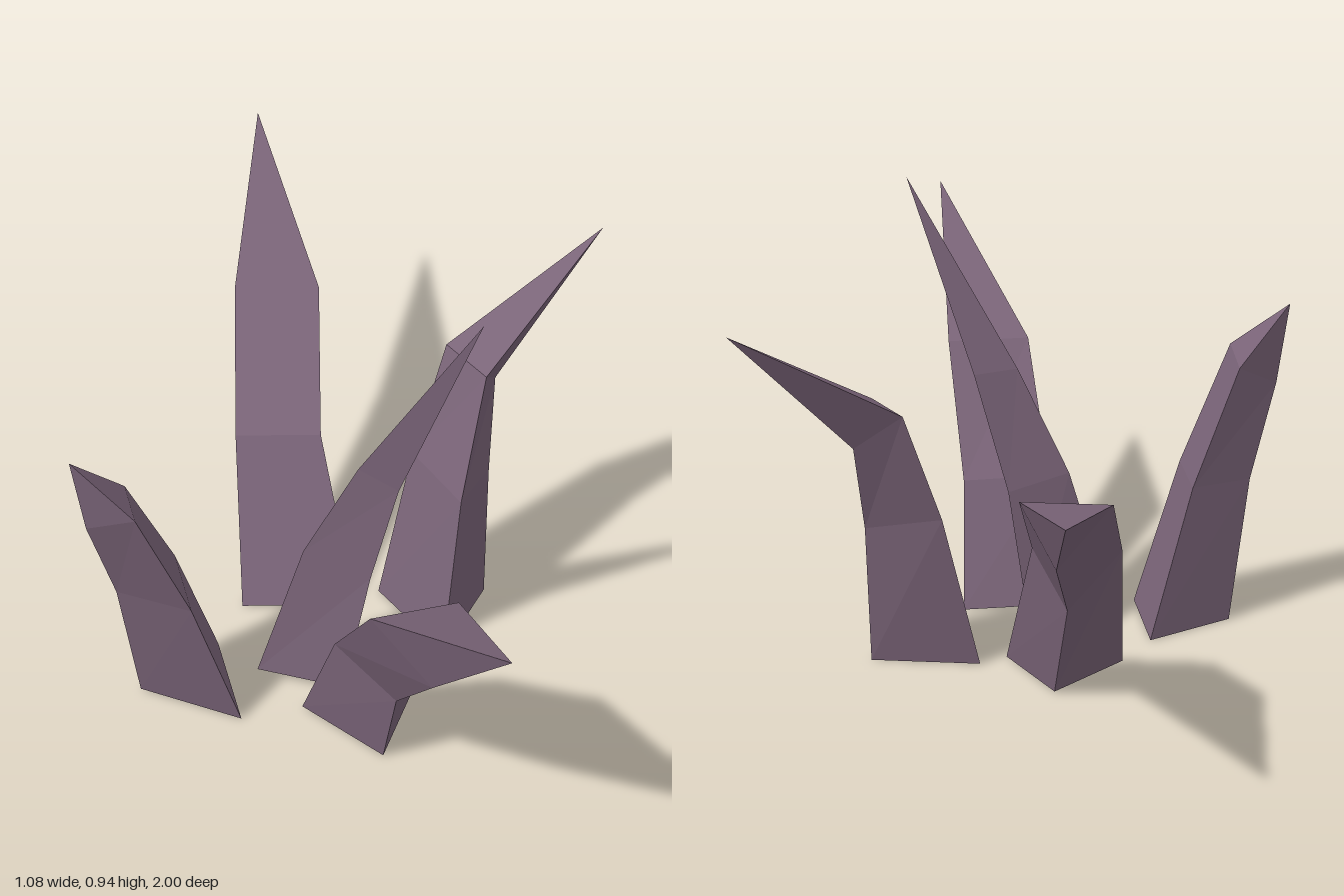
import * as THREE from 'three';

const material = new THREE.MeshStandardMaterial({ color: 0x7a6478 });
material.flatShading = true;

// Each blade: three triangular cross-sections (counter-clockwise from above,
// outer ridge in the middle) running from the base up, and a pointed tip.
const BLADES = {
  backBlade: {
    rings: [
      [[0.02, 0, -0.04], [-0.095, 0, -0.22], [-0.22, 0, -0.04]],
      [[-0.05, 0.31, -0.23], [-0.13, 0.22, -0.34], [-0.23, 0.31, -0.23]],
      [[-0.05, 0.5, -0.5], [-0.13, 0.4, -0.6], [-0.23, 0.5, -0.5]],
    ],
    tip: [-0.18, 0.625, -1],
  },
  backLeftBlade: {
    rings: [
      [[0.2, 0, 0.115], [0.295, 0, -0.085], [0.07, 0, -0.085]],
      [[0.235, 0.33, 0.03], [0.3, 0.3, -0.12], [0.14, 0.33, -0.14]],
      [[0.287, 0.565, -0.085], [0.312, 0.49, -0.185], [0.21, 0.565, -0.2]],
    ],
    tip: [0.535, 0.76, -0.335],
  },
  frontBlade: {
    rings: [
      [[-0.095, 0, 0.28], [0.067, 0, 0.43], [0.138, 0, 0.22]],
      [[-0.03, 0.255, 0.38], [0.09, 0.2, 0.49], [0.15, 0.25, 0.34]],
      [[0.035, 0.5, 0.59], [0.15, 0.43, 0.71], [0.205, 0.5, 0.545]],
    ],
    tip: [0.275, 0.745, 1],
  },
  centreBlade: {
    rings: [
      [[-0.187, 0.015, 0.18], [-0.01, 0.015, 0.24], [-0.02, 0.015, 0.06]],
      [[-0.09, 0.33, 0.18], [0.045, 0.29, 0.22], [0.03, 0.31, 0.1]],
      [[0.02, 0.55, 0.195], [0.1, 0.51, 0.215], [0.105, 0.55, 0.14]],
    ],
    tip: [0.257, 0.94, 0.255],
  },
  rightBlade: {
    rings: [
      [[-0.27, 0, 0.08], [-0.428, 0, 0.22], [-0.22, 0, 0.315]],
      [[-0.35, 0.31, 0.165], [-0.465, 0.3, 0.265], [-0.313, 0.31, 0.34]],
      [[-0.44, 0.55, 0.24], [-0.515, 0.5, 0.31], [-0.415, 0.565, 0.37]],
    ],
    tip: [-0.54, 0.67, 0.32],
  },
};

function bladeGeometry({ rings, tip }) {
  const positions = [];
  const face = (...corners) => corners.forEach((c) => positions.push(...c));
  const top = rings[rings.length - 1];

  // Closed underside
  face(rings[0][0], rings[0][2], rings[0][1]);

  for (let i = 0; i < 3; i++) {
    const j = (i + 1) % 3;
    // Side panels between neighbouring cross-sections
    for (let k = 0; k < rings.length - 1; k++) {
      const [a, b] = [rings[k], rings[k + 1]];
      face(a[i], a[j], b[j]);
      face(a[i], b[j], b[i]);
    }
    // Pointed end
    face(top[i], top[j], tip);
  }

  const geometry = new THREE.BufferGeometry();
  geometry.setAttribute('position', new THREE.Float32BufferAttribute(positions, 3));
  geometry.computeVertexNormals();
  return geometry;
}

export function createModel() {
  const group = new THREE.Group();
  group.name = 'bladeCluster';
  for (const [name, blade] of Object.entries(BLADES)) {
    const mesh = new THREE.Mesh(bladeGeometry(blade), material);
    mesh.name = name;
    group.add(mesh);
  }
  return group;
}
